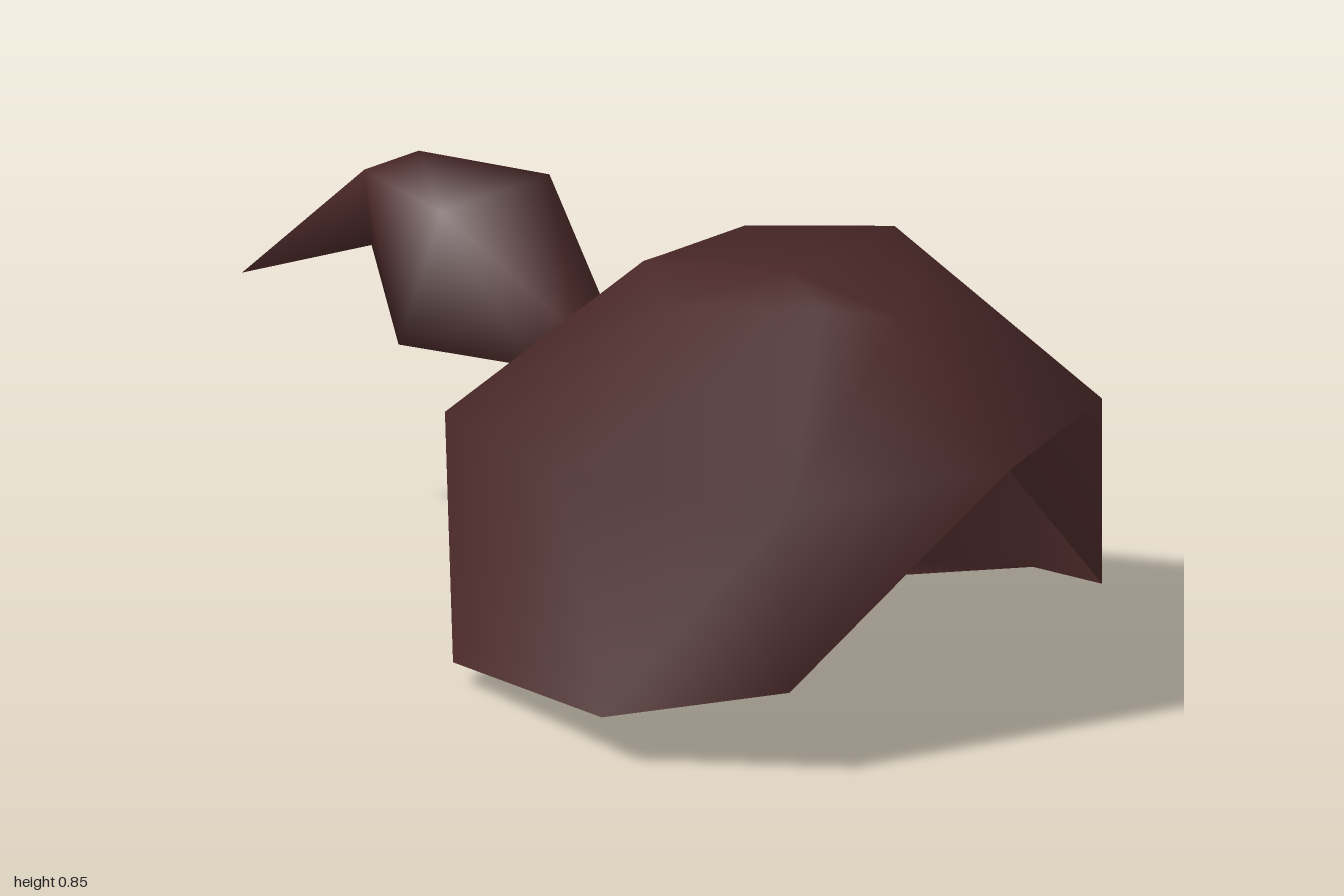
import * as THREE from 'three';

const hair = new THREE.MeshStandardMaterial({ color: 0x4a2828, side: THREE.DoubleSide });
hair.name = 'dark brown hair';

// Completes a loop given as its +x half, centre point to centre point
const mirrorLoop = (half) => [
  ...half,
  ...half.slice(1, -1).reverse().map(([x, y, z]) => [-x, y, z]),
];

// Joins two equal loops with quads; start is the index of the first loop
function band(start, n) {
  const faces = [];
  for (let i = 0; i < n; i++) {
    const a = start + i, b = start + (i + 1) % n;
    faces.push([a, b, b + n], [a, b + n, a + n]);
  }
  return faces;
}

// Closes a loop on a single point
const fan = (start, n, tip) =>
  Array.from({ length: n }, (_, i) => [start + i, start + (i + 1) % n, tip]);

function makeMesh(name, points, faces) {
  const g = new THREE.BufferGeometry();
  g.setAttribute('position', new THREE.Float32BufferAttribute(points.flat(), 3));
  g.setIndex(faces.flat());
  g.computeVertexNormals();
  const mesh = new THREE.Mesh(g, hair);
  mesh.name = name;
  return mesh;
}

// Hollow cap, open at the front below the hairline, with a floor at the nape
function makeCap() {
  const rim = [[0, 0.56, 1], [0.46, 0.18, 0.835], [0.635, 0.1, 0.5],
    [0.44, 0.045, -0.06], [0, 0, -0.2]];
  const brow = [[0, 0.56, 1], [0.46, 0.56, 0.835], [0.635, 0.56, 0.4],
    [0.43, 0.55, -0.09], [0, 0.52, -0.2]];
  const crown = [[0, 0.81, 0.72], [0.15, 0.85, 0.64], [0.34, 0.85, 0.4],
    [0.15, 0.85, 0.18], [0, 0.81, 0.1]];
  const top = [0, 0.85, 0.42];
  const floorEdge = [[0.15, 0.16, 0.36], [-0.15, 0.16, 0.36]];
  const points = [...[rim, brow, crown].flatMap(mirrorLoop), top, ...floorEdge];
  const floor = [[2, 3, 25], [3, 4, 25], [25, 4, 26], [4, 5, 26], [5, 6, 26]];
  return makeMesh('cap', points, [...band(0, 8), ...band(8, 8), ...fan(16, 8, 24), ...floor]);
}

// Ponytail: four-sided sections running back to a point
function makePonytail() {
  // half width, height and z of the top edge, then of the bottom edge
  const sections = [
    [0.05, 0.62, -0.08, 0.08, 0.54, -0.17],
    [0.16, 0.84, -0.34, 0.16, 0.545, -0.45],
    [0.08, 0.85, -0.61, 0.07, 0.695, -0.6],
  ];
  const points = sections.flatMap(([w, y, z, v, q, s]) =>
    [[-w, y, z], [w, y, z], [v, q, s], [-v, q, s]]);
  points.push([0, 0.535, -1]);
  return makeMesh('ponytail', points, [...band(0, 4), ...band(4, 4), ...fan(8, 4, 12)]);
}

export function createModel() {
  const model = new THREE.Group();
  model.name = 'hair';
  model.add(makeCap(), makePonytail());
  return model;
}
